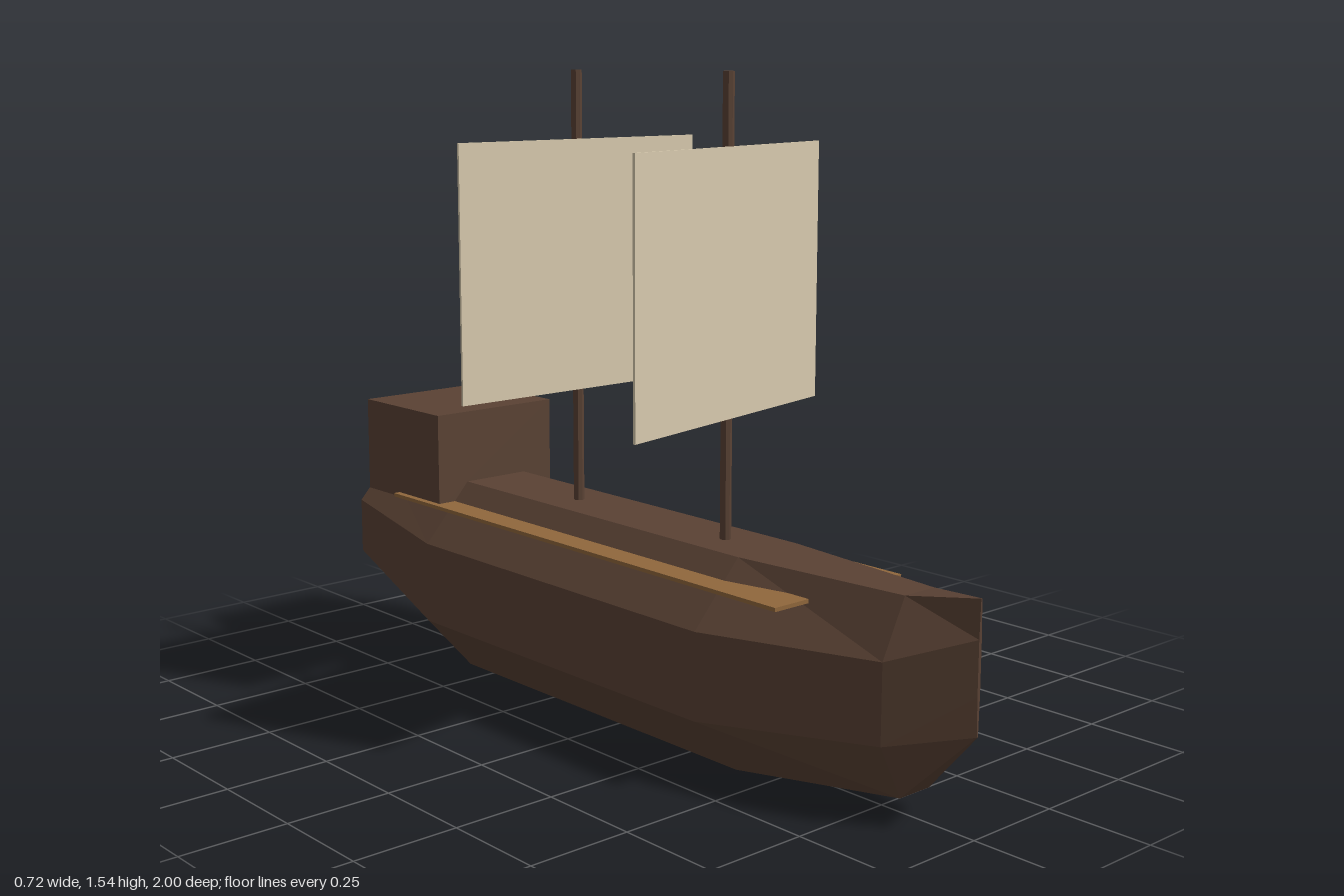
import * as THREE from 'three';

export function createModel() {
  const model = new THREE.Group();
  const mat = (name, color, extra = {}) => {
    const m = new THREE.MeshStandardMaterial({ color, ...extra });
    m.name = name;
    return m;
  };
  const wood = mat('dark wood', 0x5a4234, { flatShading: true });
  const plank = mat('light plank', 0x90673c);
  const canvas = mat('sail canvas', 0xd8caae);

  const add = (name, geometry, material, x, y, z) => {
    const mesh = new THREE.Mesh(geometry, material);
    mesh.name = name;
    mesh.position.set(x, y, z);
    model.add(mesh);
    return mesh;
  };

  // Hull: octagonal sections [z, centre y, half width, half height], bow to stern
  const sections = [
    [1, 0.365, 0.004, 0.145],
    [0.84, 0.272, 0.11, 0.218],
    [0.4, 0.245, 0.22, 0.245],
    [-0.6, 0.245, 0.22, 0.245],
    [-1, 0.311, 0.157, 0.17],
  ];
  const SIDES = 8;
  const k = Math.cos(Math.PI / SIDES);
  const pos = [];
  const index = [];
  for (const [z, cy, hw, hh] of sections) {
    for (let i = 0; i < SIDES; i++) {
      const a = ((i + 0.5) / SIDES) * Math.PI * 2;
      pos.push((Math.cos(a) * hw) / k, cy + (Math.sin(a) * hh) / k, z);
    }
  }
  for (let s = 0; s < sections.length - 1; s++) {
    for (let i = 0; i < SIDES; i++) {
      const j = (i + 1) % SIDES;
      const a = s * SIDES + i, b = s * SIDES + j;
      index.push(a, a + SIDES, b, b, a + SIDES, b + SIDES);
    }
  }
  // Bow and stern caps
  const last = (sections.length - 1) * SIDES;
  for (let i = 1; i < SIDES - 1; i++) {
    index.push(0, i, i + 1, last, last + i + 1, last + i);
  }
  const indexed = new THREE.BufferGeometry();
  indexed.setAttribute('position', new THREE.Float32BufferAttribute(pos, 3));
  indexed.setIndex(index);
  const hull = indexed.toNonIndexed();
  hull.computeVertexNormals();
  add('hull', hull, wood, 0, 0, 0);

  // Stern cabin
  add('cabin', new THREE.BoxGeometry(0.36, 0.24, 0.32), wood, 0, 0.553, -0.76);

  // Side planks
  for (const [name, side] of [['leftPlank', 1], ['rightPlank', -1]]) {
    add(name, new THREE.BoxGeometry(0.1, 0.009, 1.4), plank, side * 0.147, 0.44, -0.08);
  }

  // Masts and sails; the fore sail is swung round
  for (const [name, mastZ, sailZ, turn] of [['fore', 0.265, 0.277, 0.215], ['aft', -0.258, -0.243, 0]]) {
    add(name + 'Mast', new THREE.CylinderGeometry(0.013, 0.013, 1.09, 8), wood, 0, 0.992, mastZ);
    const sail = add(name + 'Sail', new THREE.BoxGeometry(0.72, 0.605, 0.006), canvas, 0, 1.072, sailZ);
    sail.rotation.y = turn;
  }
  return model;
}
